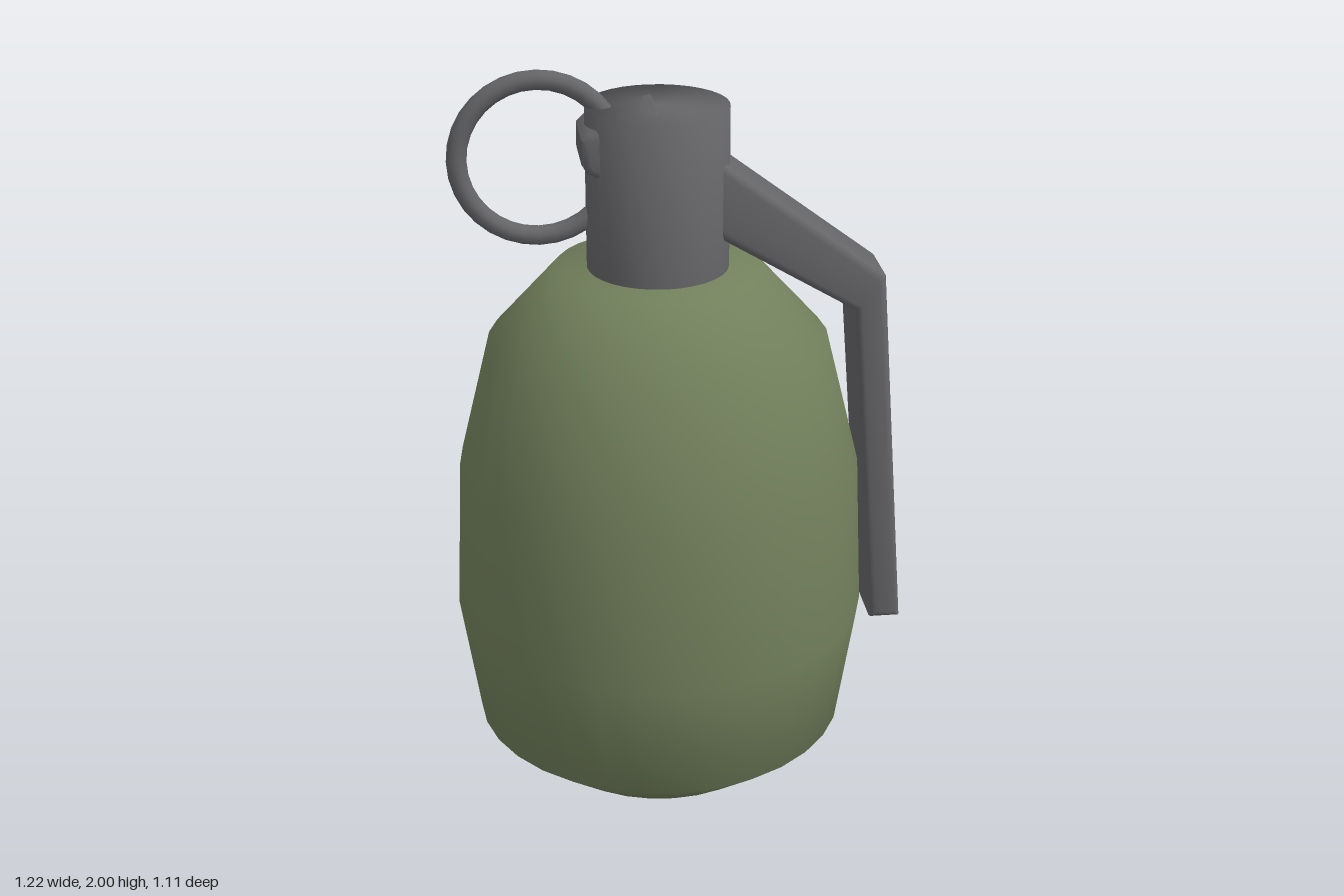
import * as THREE from 'three';
import { toCreasedNormals } from 'three/addons/utils/BufferGeometryUtils.js';

const AXIS_X = -0.06; // centre line of the body and the cap

export function createModel() {
  const green = new THREE.MeshStandardMaterial({ color: 0x72805c });
  green.name = 'olive green';
  const grey = new THREE.MeshStandardMaterial({ color: 0x656467 });
  grey.name = 'dark grey';

  const model = new THREE.Group();
  const add = (name, geometry, material, x = 0, y = 0, z = 0) => {
    const mesh = new THREE.Mesh(geometry, material);
    mesh.name = name;
    mesh.position.set(x, y, z);
    model.add(mesh);
  };
  const points = (list) => list.map(([x, y]) => new THREE.Vector2(x, y));
  const lathe = (profile) => new THREE.LatheGeometry(points(profile), 32);

  // Egg-shaped body, smooth around and along its profile
  add('body', lathe([
    [0, 0.005], [0.335, 0.04], [0.505, 0.175], [0.555, 0.51],
    [0.535, 0.93], [0.45, 1.27], [0.27, 1.47], [0, 1.48],
  ]), green, AXIS_X);

  // Cylindrical cap, its rim shaded smoothly into the flat top
  add('cap', lathe([[0.185, 1.46], [0.185, 1.9], [0, 1.9]]), grey, AXIS_X);

  // Safety lever: passes through the cap, its end showing on the far side
  const bevel = 0.02;
  const width = 0.2;
  const outline = new THREE.Shape(points([
    [-0.245, 1.75], [-0.05, 1.66], [0.1, 1.56], [0.445, 1.355],
    [0.52, 0.43], [0.605, 0.43], [0.527, 1.445], [0.1, 1.765],
    [-0.055, 1.887], [-0.07, 1.904], [-0.09, 1.9], [-0.24, 1.86], [-0.26, 1.84], [-0.26, 1.775],
  ]));
  const lever = new THREE.ExtrudeGeometry(outline, {
    depth: width - 2 * bevel,
    bevelSize: bevel,
    bevelOffset: -bevel,
    bevelThickness: bevel,
    bevelSegments: 3,
  });
  lever.translate(0, 0, bevel - width / 2);
  add('lever', toCreasedNormals(lever, 0.7), grey);

  // Pull ring
  add('pullRing', new THREE.TorusGeometry(0.204, 0.026, 10, 32), grey, -0.365, 1.77);

  return model;
}
